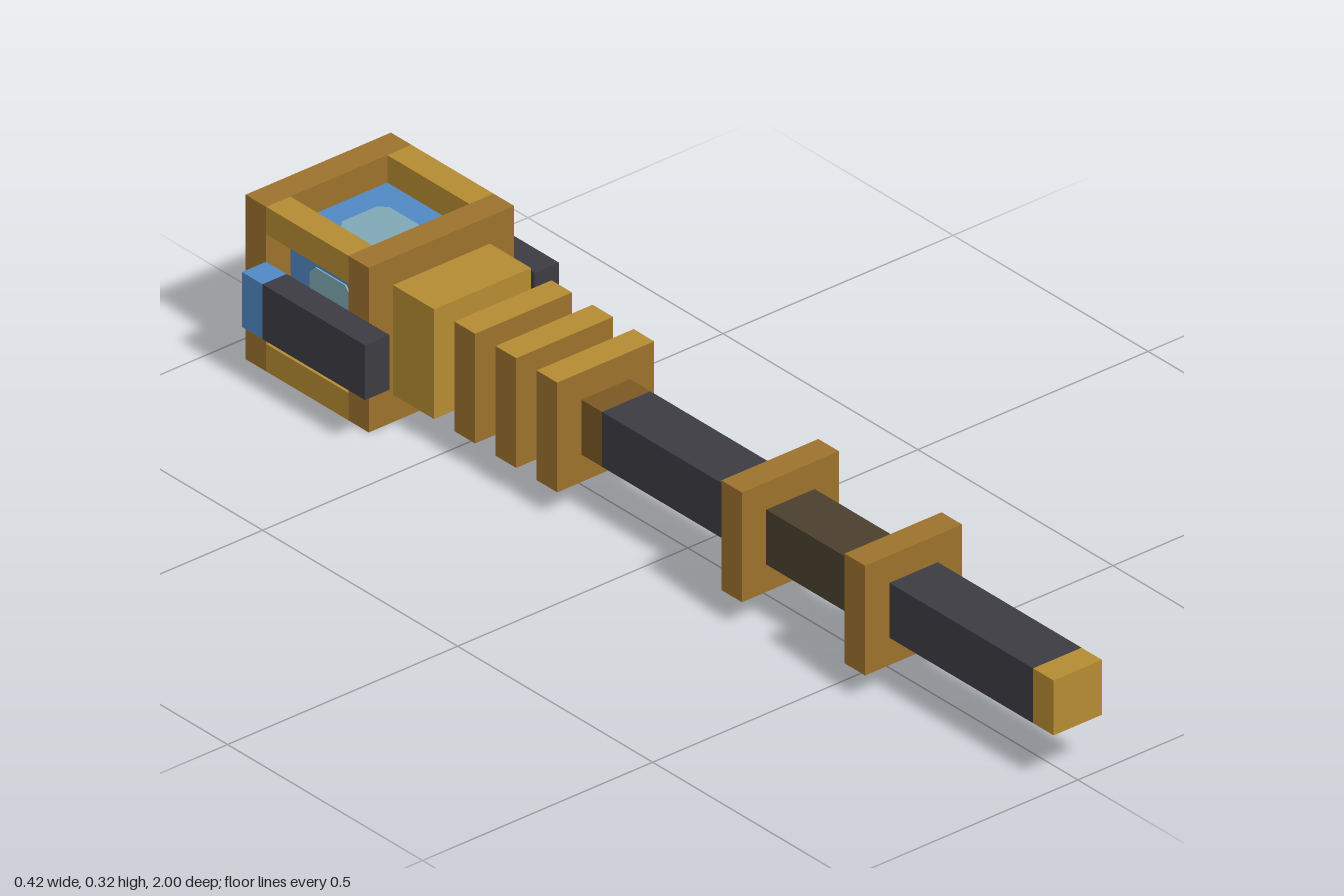
import * as THREE from 'three';

const U = 2 / 38; // grid unit of the blocky design
const CY = 3 * U; // height of the long axis

const mat = (name, color) => {
  const m = new THREE.MeshStandardMaterial({ color });
  m.name = name;
  return m;
};

export function createModel() {
  const gold = mat('gold', 0xb58c33);
  const bronze = mat('bronze', 0x9d722d);
  const wood = mat('brown wood', 0x7c5824);
  const grip = mat('dark brown grip', 0x4c402e);
  const iron = mat('dark iron', 0x3d3c42);
  const blue = mat('blue crystal', 0x5088c4);
  const pale = mat('pale crystal', 0x80a8b6);
  const teal = mat('grey teal', 0x7f9f96);

  const root = new THREE.Group();
  root.name = 'staff';

  // Box in grid units: x and y measured from the axis, z from z0 to z1
  const box = (parent, name, m, x, y, w, h, z0, z1) => {
    const mesh = new THREE.Mesh(new THREE.BoxGeometry(w * U, h * U, (z1 - z0) * U), m);
    mesh.position.set(x * U, CY + y * U, (z0 + z1) * U / 2);
    mesh.name = name;
    parent.add(mesh);
    return mesh;
  };

  // Thin square plate with clipped corners, facing +z before rotation
  const plate = (parent, name, m, size, x, y, z, rx, ry) => {
    const a = size * U / 2, b = a * 0.72;
    const pts = [[-b, -a], [b, -a], [a, -b], [a, b], [b, a], [-b, a], [-a, b], [-a, -b]];
    const shape = new THREE.Shape(pts.map(p => new THREE.Vector2(p[0], p[1])));
    const mesh = new THREE.Mesh(
      new THREE.ExtrudeGeometry(shape, { depth: 0.003, bevelEnabled: false }), m);
    mesh.position.set(x * U, CY + y * U, z * U);
    mesh.rotation.set(rx, ry, 0);
    mesh.name = name;
    parent.add(mesh);
  };

  // Shaft sections
  box(root, 'pommel', gold, 0, 0, 2, 2, 18, 19);
  box(root, 'lowerShaft', iron, 0, 0, 2, 2, 11, 18);
  box(root, 'gripShaft', grip, 0, 0, 2, 2, 5, 11);
  box(root, 'middleShaft', iron, 0, 0, 2, 2, -3, 5);
  box(root, 'neckShaft', wood, 0, 0, 2, 2, -10, -3);

  // Square rings
  for (const z of [10, 4]) box(root, 'gripRing', bronze, 0, 0, 4, 4, z, z + 1);
  for (const z of [-5, -7, -9]) {
    const ring = box(root, 'neckRing', bronze, 0, 0, 4, 4, z, z + 1);
    ring.material = [bronze, bronze, gold, bronze, bronze, bronze];
  }
  box(root, 'collar', gold, 0, 0, 4, 4, -12, -10);

  // Head: open cage made from two end frames and four long bars
  const head = new THREE.Group();
  head.name = 'head';
  root.add(head);
  for (const z of [-13, -18]) {
    for (const s of [-1, 1]) {
      box(head, 'frameBar', bronze, 0, s * 2.5, 6, 1, z, z + 1);
      box(head, 'framePost', bronze, s * 2.5, 0, 1, 4, z, z + 1);
    }
    box(head, 'endPanel', bronze, 0, 0, 4, 4, z, z + 1);
  }
  for (const sx of [-1, 1]) for (const sy of [-1, 1])
    box(head, 'cageBar', gold, sx * 2.5, sy * 2.5, 1, 1, -17, -13);

  // Crystal core with a glint on each exposed side
  box(head, 'crystal', blue, 0, 0, 4, 4, -17, -13);
  for (const s of [-1, 1]) {
    plate(head, 'crystalGlint', pale, 2, 0, s * 2, -15, -s * Math.PI / 2, 0);
    plate(head, 'crystalGlint', pale, 2, s * 2, 0, -15, 0, s * Math.PI / 2);
  }

  // Back window and knob
  plate(head, 'backWindow', teal, 4, 0, 0, -18, 0, Math.PI);
  box(head, 'knob', gold, 0, 0, 2, 2, -19, -18);

  // Side prongs with crystal tips
  for (const s of [-1, 1]) {
    box(head, 'prong', iron, s * 3.5, 0, 1, 2, -16, -11);
    box(head, 'prongTip', blue, s * 3.5, 0, 1, 2, -17, -16);
  }
  return root;
}
